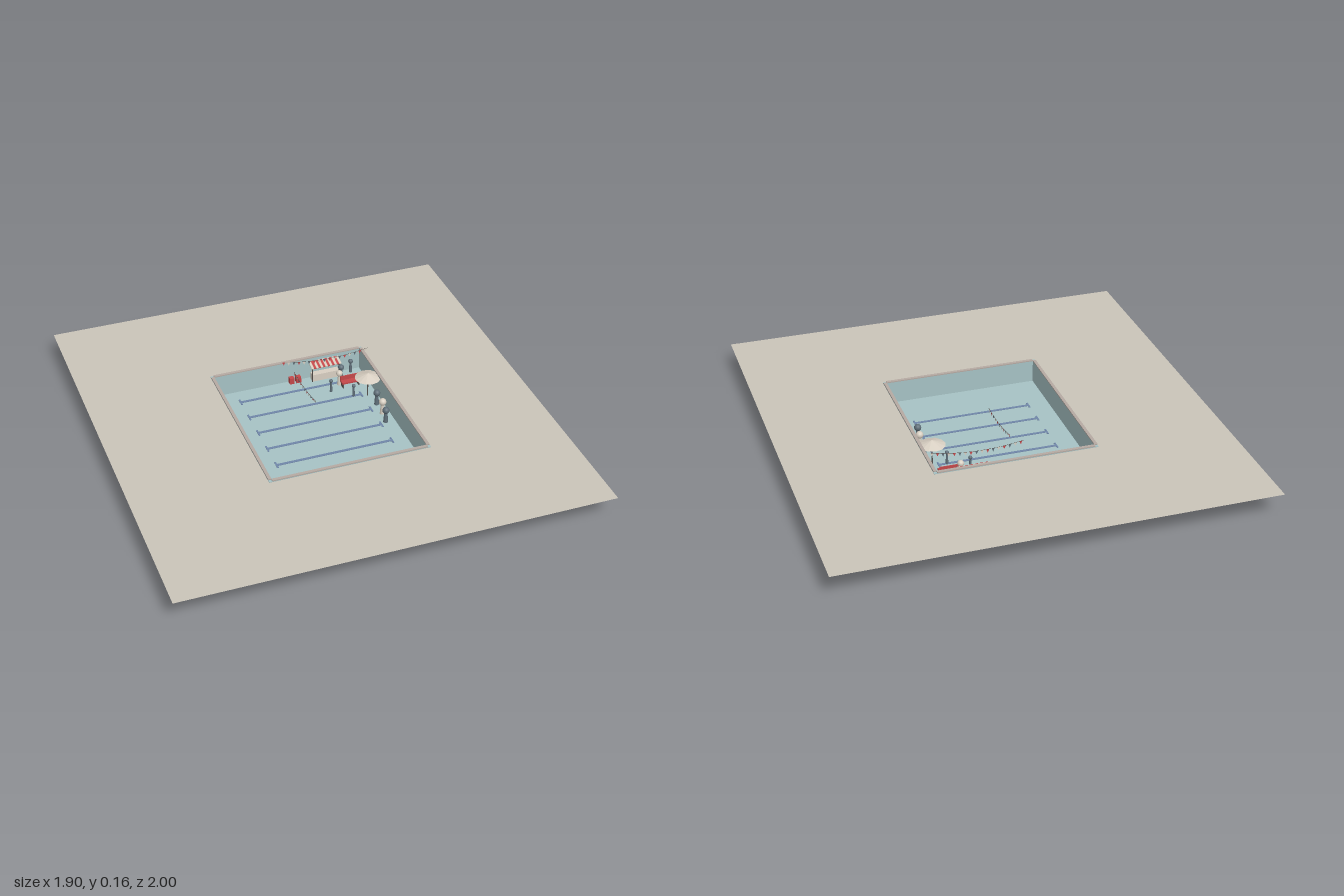
import * as THREE from 'three';

const mat = (name, color, side = THREE.FrontSide) => {
  const m = new THREE.MeshStandardMaterial({ color, side });
  m.name = name;
  return m;
};

export function createModel() {
  const root = new THREE.Group();
  root.name = 'sunkenPool';
  const M = {
    ground: mat('ground', 0xc9c4b8, THREE.DoubleSide),
    pool: mat('poolTile', 0xa6c2c4),
    coping: mat('coping', 0xb5a9a2),
    lane: mat('laneBlue', 0x7086a8),
    red: mat('red', 0xc4484a, THREE.DoubleSide),
    cream: mat('cream', 0xd8cfc2, THREE.DoubleSide),
    slate: mat('slate', 0x5f6e78, THREE.DoubleSide),
    pole: mat('pole', 0x5a5450),
  };
  const add = (name, geo, material, x = 0, y = 0, z = 0, parent = root) => {
    const m = new THREE.Mesh(geo, material);
    m.name = name;
    m.position.set(x, y, z);
    parent.add(m);
    return m;
  };
  const box = (name, w, h, d, material, x, y, z, parent) =>
    add(name, new THREE.BoxGeometry(w, h, d), material, x, y, z, parent);

  // Ground sheet with a rectangular opening
  const rect = (Type, w, d) => new Type([[-w, -d], [w, -d], [w, d], [-w, d]].map(p => new THREE.Vector2(...p)));
  const sheet = rect(THREE.Shape, 0.95, 1);
  sheet.holes.push(rect(THREE.Path, 0.355, 0.405));
  add('ground', new THREE.ShapeGeometry(sheet).rotateX(-Math.PI / 2), M.ground, 0, 0.11, 0);

  // Basin floor, walls and coping
  box('poolFloor', 0.7, 0.01, 0.8, M.pool, 0, 0.005, 0);
  for (const s of [-1, 1]) {
    box('sideWall', 0.014, 0.106, 0.8, M.pool, s * 0.357, 0.06, 0);
    box('endWall', 0.728, 0.106, 0.014, M.pool, 0, 0.06, s * 0.407);
    box('sideCoping', 0.014, 0.005, 0.8, M.coping, s * 0.357, 0.1155, 0);
    box('endCoping', 0.7, 0.005, 0.014, M.coping, 0, 0.1155, s * 0.407);
  }

  // Lane markings with crossbars at both ends
  for (let i = 0; i < 5; i++) {
    const z = -0.315 + i * 0.125;
    box('laneLine', 0.535, 0.002, 0.013, M.lane, 0.0125, 0.011, z);
    for (const x of [-0.255, 0.28]) box('laneCrossbar', 0.008, 0.002, 0.042, M.lane, x, 0.011, z);
  }

  // Parasol
  const parasol = new THREE.Group();
  parasol.name = 'parasol';
  parasol.position.set(0.305, 0, -0.175);
  root.add(parasol);
  add('parasolPole', new THREE.CylinderGeometry(0.003, 0.003, 0.115, 8), M.pole, 0, 0.0675, 0, parasol);
  const canopy = new THREE.ConeGeometry(0.06, 0.023, 12, 1, true).toNonIndexed();
  canopy.computeVertexNormals();
  add('parasolCanopy', canopy, M.cream, 0, 0.119, 0, parasol);

  // Snack stall with a striped awning
  const stall = new THREE.Group();
  stall.name = 'stall';
  stall.position.set(0.172, 0, -0.376);
  root.add(stall);
  box('stallCounter', 0.13, 0.035, 0.03, M.cream, 0, 0.0275, 0, stall);
  for (const x of [-0.065, 0.065]) box('stallPost', 0.004, 0.08, 0.004, M.pole, x, 0.05, 0.015, stall);
  for (let i = 0; i < 13; i++) {
    const strip = box('awningStripe', 0.145 / 13, 0.004, 0.052, i % 2 ? M.red : M.cream,
      (i - 6) * 0.145 / 13, 0.092, 0, stall);
    strip.rotation.x = 0.2;
  }

  // Red bench and two small crates
  box('benchSeat', 0.09, 0.008, 0.03, M.red, 0.26, 0.036, -0.275);
  box('benchBack', 0.09, 0.022, 0.004, M.red, 0.26, 0.05, -0.288);
  for (const x of [0.222, 0.298]) box('benchLeg', 0.005, 0.022, 0.025, M.pole, x, 0.021, -0.275);
  for (const x of [0.013, 0.045]) box('crate', 0.022, 0.03, 0.022, M.red, x, 0.025, -0.385);

  // Round-topped figures: x, z, head radius, material
  const figures = [
    [0.3, -0.38, 0.011, M.slate], [0.24, -0.345, 0.014, M.slate], [0.215, -0.3, 0.015, M.cream],
    [0.16, -0.26, 0.009, M.slate], [0.243, -0.19, 0.009, M.slate], [0.318, -0.095, 0.016, M.slate],
    [0.316, -0.02, 0.017, M.cream], [0.306, 0.045, 0.016, M.slate],
  ];
  for (const [x, z, r, material] of figures) {
    const figure = new THREE.Group();
    figure.name = 'figure';
    figure.position.set(x, 0.01, z);
    root.add(figure);
    add('figureBody', new THREE.CylinderGeometry(r * 0.45, r * 0.7, 0.05, 10), material, 0, 0.025, 0, figure);
    add('figureHead', new THREE.SphereGeometry(r, 14, 10), material, 0, 0.05 + r * 0.7, 0, figure);
  }

  // Sagging bunting lines with alternating pennants
  const bunting = (a, b, sag, count) => {
    const group = new THREE.Group();
    group.name = 'bunting';
    root.add(group);
    const start = new THREE.Vector3(...a), end = new THREE.Vector3(...b);
    const mid = start.clone().lerp(end, 0.5);
    mid.y -= sag * 2;
    const curve = new THREE.QuadraticBezierCurve3(start, mid, end);
    add('buntingCord', new THREE.TubeGeometry(curve, 24, 0.0008, 4), M.pole, 0, 0, 0, group);
    const shape = new THREE.Shape([[-0.007, 0], [0, -0.016], [0.007, 0]].map(p => new THREE.Vector2(...p)));
    const flag = new THREE.ShapeGeometry(shape);
    for (let i = 0; i < count; i++) {
      const p = curve.getPoint((i + 0.5) / count);
      const m = add('pennant', flag, [M.red, M.cream, M.slate][i % 3], p.x, p.y, p.z, group);
      m.rotation.y = Math.atan2(a[2] - b[2], b[0] - a[0]);
    }
  };
  bunting([-0.05, 0.162, -0.345], [0.36, 0.162, -0.325], 0.022, 17);
  bunting([-0.015, 0.15, -0.27], [0.0, 0.15, -0.02], 0.012, 11);

  return root;
}
